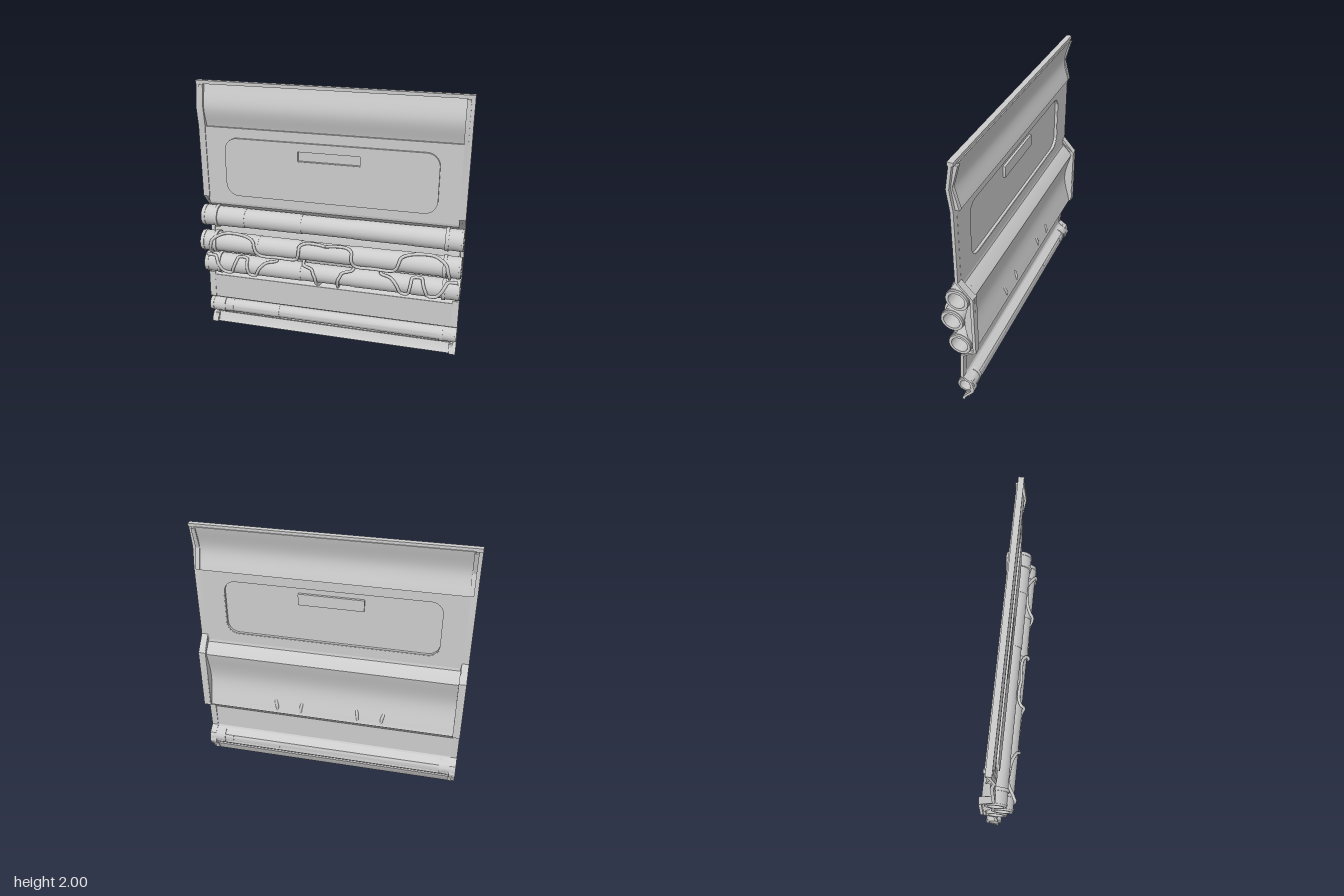
import * as THREE from 'three';
import { toCreasedNormals } from 'three/addons/utils/BufferGeometryUtils.js';

const material = new THREE.MeshStandardMaterial({ color: 0xcccccc, side: THREE.DoubleSide });

function add(parent, name, geometry) {
  const mesh = new THREE.Mesh(geometry, material);
  mesh.name = name;
  parent.add(mesh);
  return mesh;
}

// Solid with a [y, z] outline, running from x0 to x1
function prism(outline, x0, x1) {
  const shape = new THREE.Shape(outline.map(([y, z]) => new THREE.Vector2(-z, y)));
  const g = new THREE.ExtrudeGeometry(shape, { depth: x1 - x0, bevelEnabled: false });
  g.rotateY(Math.PI / 2).translate(x0, 0, 0);
  return toCreasedNormals(g, 0.4);
}

// Folded sheet: a [y, z] line thickened along z
function sheet(line, t, x0, x1) {
  const front = line.map(([y, z]) => [y, z + t / 2]);
  const back = line.map(([y, z]) => [y, z - t / 2]).reverse();
  return prism([...front, ...back], x0, x1);
}

// Smooth arc through three [y, z] points
function bow(a, b, c, n = 14) {
  const curve = new THREE.CatmullRomCurve3([a, b, c].map(([y, z]) => new THREE.Vector3(0, y, z)));
  return curve.getPoints(n).map((p) => [p.y, p.z]);
}

function roundedRect(x0, x1, y0, y1, r, Type = THREE.Shape) {
  const s = new Type();
  s.absarc(x1 - r, y0 + r, r, -Math.PI / 2, 0);
  s.absarc(x1 - r, y1 - r, r, 0, Math.PI / 2);
  s.absarc(x0 + r, y1 - r, r, Math.PI / 2, Math.PI);
  s.absarc(x0 + r, y0 + r, r, Math.PI, Math.PI * 1.5);
  s.closePath();
  return s;
}

// Flat plate from z0 to z1 with optional holes
function plate(shape, z0, z1, holes = []) {
  shape.holes.push(...holes);
  const g = new THREE.ExtrudeGeometry(shape, { depth: z1 - z0, bevelEnabled: false, curveSegments: 10 });
  return toCreasedNormals(g.translate(0, 0, z0), 0.5);
}

// Hollow pipe with end collars and slightly stepped sleeves
function pipe(r, sleeve, centre) {
  const half = [
    [0.8, 1], [1.07, 1], [1.07, 0.985], [1.13, 0.985], [1.13, 0.97], [1.07, 0.97],
    [1.07, 0.895], [1.17, 0.895], [1.17, 0.87], [1.03, 0.87], [1.03, sleeve], [1, sleeve],
    [1, centre], [0.96, centre],
  ];
  const mirrored = half.map(([k, x]) => [k, -x]).reverse();
  const pts = [...half, ...mirrored, half[0]].map(([k, x]) => new THREE.Vector2(k * r, x));
  const g = new THREE.LatheGeometry(pts, 36);
  g.rotateZ(-Math.PI / 2);
  return toCreasedNormals(g, 0.5);
}

// Cable laid on a pipe; path is [x, angle around the pipe in degrees], 0 = front, 90 = top
function cable(path, y, z, R, side) {
  const pts = [];
  path.forEach(([x, a], i) => {
    const [px, pa] = i ? path[i - 1] : [x, a];
    const steps = Math.max(1, Math.ceil(Math.abs(a - pa) / 35));
    for (let k = 1; k <= steps; k++) {
      const t = k / steps;
      const ang = THREE.MathUtils.degToRad(pa + (a - pa) * t);
      pts.push(new THREE.Vector3(side * (px + (x - px) * t), y + R * Math.sin(ang), z + R * Math.cos(ang)));
    }
  });
  const curve = new THREE.CatmullRomCurve3(pts, false, 'centripetal');
  return new THREE.TubeGeometry(curve, pts.length * 6, 0.012, 8);
}

export function createModel() {
  const model = new THREE.Group();
  model.name = 'pipeWall';

  // Wall panels
  const wall = new THREE.Group();
  wall.name = 'wall';
  model.add(wall);
  const W = 0.955;
  add(wall, 'topRail', prism([[2, -0.005], [1.975, -0.005], [1.975, -0.045], [2, -0.045]], -1, 1));
  add(wall, 'upperPanel', sheet(bow([1.98, -0.045], [1.81, -0.005], [1.655, -0.042]), 0.016, -W, W));
  add(wall, 'middlePanel', plate(
    new THREE.Shape([[-W, 1.07], [W, 1.07], [W, 1.66], [-W, 1.66]].map((p) => new THREE.Vector2(...p))),
    -0.028, -0.012, [roundedRect(-0.79, 0.79, 1.145, 1.58, 0.09, THREE.Path)]));
  add(wall, 'recessPanel', sheet([
    [1.075, -0.02], [1.05, -0.025], [0.985, -0.1],
    ...bow([0.98, -0.103], [0.755, -0.055], [0.52, -0.103]),
    [0.515, -0.105], [0.45, -0.03], [0.43, -0.016]], 0.014, -W, W));
  add(wall, 'lowerPanel', sheet([[0.435, -0.016], [0.24, -0.016]], 0.014, -W, W));
  add(wall, 'lowerChannel', sheet([
    [0.245, -0.016], [0.23, -0.025], [0.195, -0.078], [0.12, -0.085], [0.085, -0.05],
    [0.075, -0.055], [0.02, -0.035], [0, -0.02]], 0.012, -W, W));

  // Embossed cover with a sunken grip
  const cover = new THREE.Group();
  cover.name = 'cover';
  wall.add(cover);
  add(cover, 'coverRim', plate(roundedRect(-0.797, 0.797, 1.138, 1.587, 0.097), -0.026, 0.006,
    [roundedRect(-0.785, 0.785, 1.15, 1.575, 0.085, THREE.Path)]));
  add(cover, 'coverFace', plate(roundedRect(-0.79, 0.79, 1.145, 1.58, 0.09), -0.006, 0.006,
    [roundedRect(-0.235, 0.235, 1.445, 1.525, 0.004, THREE.Path)]));
  add(cover, 'gripRim', plate(roundedRect(-0.239, 0.239, 1.441, 1.529, 0.004), -0.024, 0.005,
    [roundedRect(-0.231, 0.231, 1.449, 1.521, 0.003, THREE.Path)]));
  add(cover, 'gripBack', plate(roundedRect(-0.238, 0.238, 1.442, 1.528, 0.004), -0.024, -0.014));

  // Side frames: folded flange plus webs closing the panel ends
  const flange = [
    [2, -0.02], [1.97, -0.022], [1.81, 0.004], [1.66, -0.016], [1.11, -0.016], [1.0, -0.115],
    [0.52, -0.12], [0.455, -0.022], [0.24, -0.014], [0.2, -0.075], [0.13, -0.092],
    [0.105, -0.085], [0.03, -0.022], [0, -0.012],
  ];
  const webs = [
    [[1.97, 0], [1.81, 0.018], [1.66, 0], [1.66, -0.055], [1.81, -0.016], [1.97, -0.06]],
    [[1.09, -0.015], [1.0, -0.1], ...bow([0.95, -0.085], [0.755, -0.045], [0.55, -0.08]),
      [0.46, -0.02], [0.52, -0.128], [1.0, -0.128]],
    [[0.07, -0.025], [0.07, -0.065], [0.02, -0.05], [0.01, -0.018]],
  ];
  for (const side of [1, -1]) {
    const frame = new THREE.Group();
    frame.name = side > 0 ? 'leftFrame' : 'rightFrame';
    model.add(frame);
    const range = (a, b) => (side > 0 ? [a, b] : [-b, -a]);
    add(frame, 'flange', sheet(flange, 0.022, ...range(0.95, 1)));
    webs.forEach((w) => add(frame, 'web', prism(w, ...range(0.945, 0.975))));
  }

  // Pipes
  const pipes = [
    ['upperPipe', 0.955, -0.008, 0.075, 0.65, 0.2],
    ['middlePipe', 0.76, 0.037, 0.075, 0.53, 0.2],
    ['lowerPipe', 0.557, -0.01, 0.075, 0.65, 0.21],
    ['bottomPipe', 0.16, -0.037, 0.055, 0.8, 0.41],
  ];
  for (const [name, y, z, r, sleeve, centre] of pipes) {
    add(model, name, pipe(r, sleeve, centre)).position.set(0, y, z);
  }

  // Cables winding over the middle and lower pipes
  const middlePath = [
    [0.88, -130], [0.92, -95], [0.92, -30], [0.9, 25], [0.87, 45], [0.8, 72], [0.64, 65], [0.57, 40],
    [0.54, -15], [0.51, -38], [0.37, -40], [0.23, -35], [0.205, -5], [0.2, 40], [0.16, 60], [0.06, 62], [0, 55],
  ];
  const lowerPath = [
    [0.98, 60], [0.91, 55], [0.87, 5], [0.83, -28], [0.77, -28], [0.74, 20], [0.72, 62], [0.65, 60],
    [0.635, 0], [0.62, -30], [0.57, -30], [0.54, 10], [0.49, 45], [0.41, 65], [0.42, 140], [0.4, 195],
    [0.31, 212], [0.23, 195], [0.21, 130], [0.19, 60], [0.12, 40], [0.09, 0], [0.08, -70], [0.07, -110],
  ];
  for (const side of [1, -1]) {
    const label = side > 0 ? 'left' : 'right';
    add(model, label + 'MiddleCable', cable(middlePath, 0.76, 0.037, 0.088, side));
    add(model, label + 'LowerCable', cable(lowerPath, 0.557, -0.01, 0.088, side));
  }

  return model;
}
